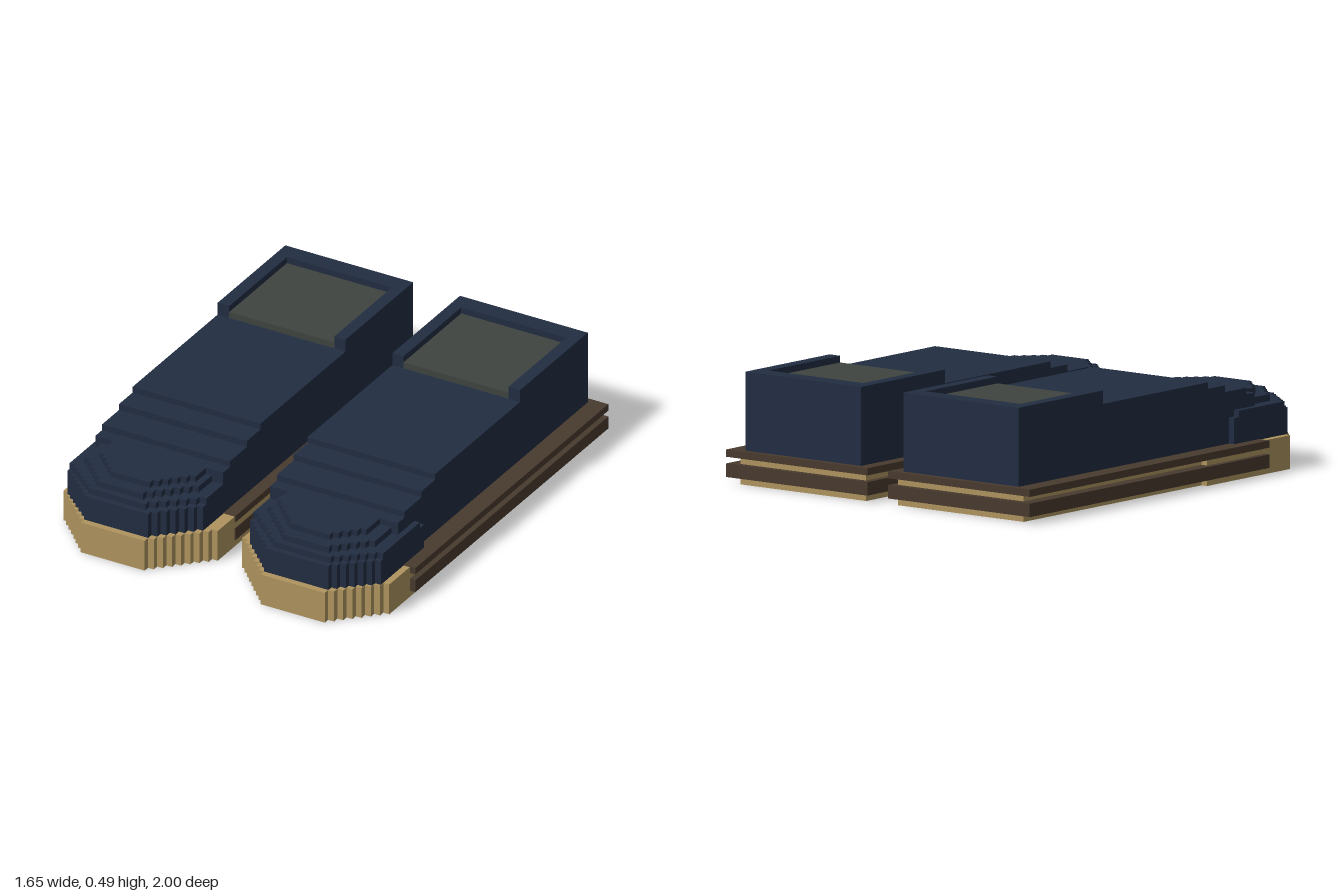
import * as THREE from 'three';

const mat = (name, color) => {
  const m = new THREE.MeshStandardMaterial({ color });
  m.name = name;
  return m;
};

export function createModel() {
  const navy = mat('navy fabric', 0x222d42);
  const tan = mat('tan sole', 0xae945e);
  const brown = mat('brown welt', 0x483a2e);
  const grey = mat('grey lining', 0x3e4440);

  // One shoe; side = 1 for the left, -1 for the mirrored right
  function makeShoe(side) {
    const shoe = new THREE.Group();
    shoe.name = side > 0 ? 'leftShoe' : 'rightShoe';

    const add = (name, geometry, material) => {
      const mesh = new THREE.Mesh(geometry, material);
      mesh.name = name;
      shoe.add(mesh);
    };

    const box = (name, material, [x0, x1], [y0, y1], [z0, z1]) => {
      const g = new THREE.BoxGeometry(x1 - x0, y1 - y0, z1 - z0);
      g.translate(side * (x0 + x1) / 2, (y0 + y1) / 2, (z0 + z1) / 2);
      add(name, g, material);
    };

    // Slab with a rounded toe cut in small square steps.
    // inner and outer: [side x, z where steps start, x at the front, step count]
    const toeSlab = (name, material, [y0, y1], zBack, zFront, inner, outer) => {
      const edge = ([x, z, xf, n]) => {
        const pts = [[x, zBack], [x, z]];
        for (let i = 1; i <= n; i++) {
          const xi = x + (xf - x) * i / n;
          pts.push([xi, z + (zFront - z) * (i - 1) / n], [xi, z + (zFront - z) * i / n]);
        }
        return pts;
      };
      const outline = [...edge(inner), ...edge(outer).reverse()];
      const shape = new THREE.Shape(outline.map(([x, z]) => new THREE.Vector2(side * x, -z)));
      const g = new THREE.ExtrudeGeometry(shape, { depth: y1 - y0, bevelEnabled: false });
      g.rotateX(-Math.PI / 2).translate(0, y0, 0);
      add(name, g, material);
    };

    // Sole: wide stepped front, slightly narrower heel
    toeSlab('frontSole', tan, [0, 0.145], 0.235, 1, [0.06, 0.77, 0.285, 8], [0.8, 0.8, 0.6, 7]);
    box('rearSole', tan, [0.087, 0.77], [0, 0.145], [-0.97, 0.235]);

    // Two bands running round the rear of the sole
    box('lowerWelt', brown, [0.057, 0.827], [0.03, 0.088], [-1, 0.627]);
    box('upperWelt', brown, [0.057, 0.827], [0.117, 0.148], [-1, 0.627]);

    // Upper, dropping in steps toward the toe
    const wide = [0.115, 0.743];
    const steps = [[-0.97, -0.4, 0.43], [-0.4, 0.315, 0.43], [0.315, 0.43, 0.402],
      [0.43, 0.573, 0.373], [0.573, 0.63, 0.345]];
    steps.forEach(([z0, z1, top], i) => box('upper' + (i + 1), navy, wide, [0.146, top], [z0, z1]));

    // Layered toe cap
    toeSlab('toeCap1', navy, [0.145, 0.26], 0.455, 0.97, [0.115, 0.8, 0.285, 6], [0.77, 0.82, 0.6, 6]);
    toeSlab('toeCap2', navy, [0.26, 0.288], 0.49, 0.943, [0.115, 0.772, 0.313, 6], [0.77, 0.8, 0.597, 6]);
    toeSlab('toeCap3', navy, [0.288, 0.317], 0.6, 0.915, [0.17, 0.745, 0.342, 6], [0.713, 0.772, 0.57, 5]);
    toeSlab('toeCap4', navy, [0.317, 0.344], 0.6, 0.858, [0.2, 0.716, 0.342, 5], [0.656, 0.744, 0.542, 4]);

    // Ankle rim, open at the front, with the lining inside
    box('innerRim', navy, [0.115, 0.17], [0.43, 0.488], [-0.97, -0.4]);
    box('outerRim', navy, [0.686, 0.743], [0.43, 0.488], [-0.97, -0.4]);
    box('backRim', navy, [0.17, 0.686], [0.43, 0.488], [-0.97, -0.886]);
    box('lining', grey, [0.17, 0.686], [0.43, 0.459], [-0.886, -0.4]);
    return shoe;
  }

  const model = new THREE.Group();
  model.name = 'pairOfShoes';
  model.add(makeShoe(1), makeShoe(-1));
  return model;
}
